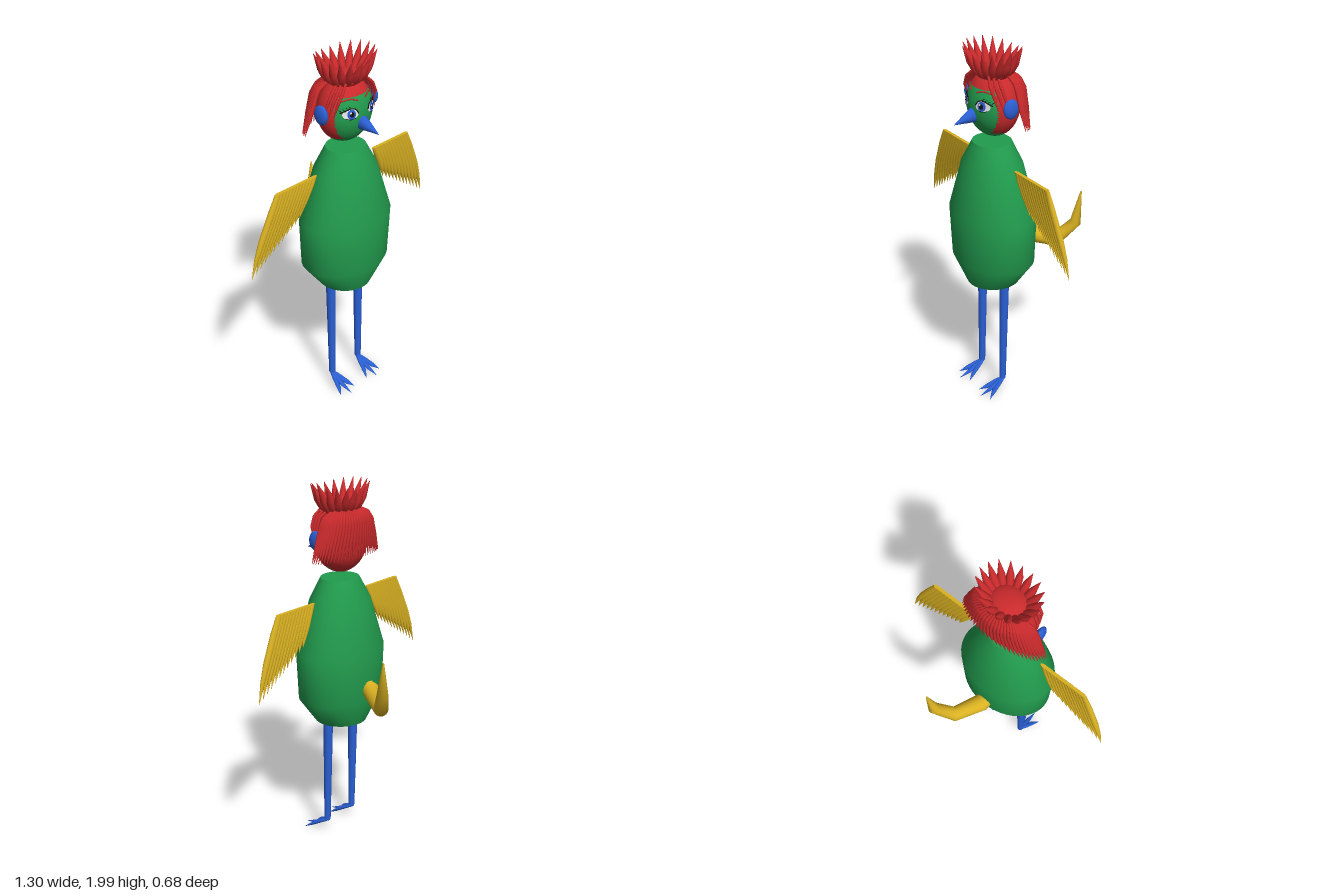
import * as THREE from 'three';

const paint = (name, color, double) => {
  const m = new THREE.MeshStandardMaterial({ color });
  m.name = name;
  if (double) m.side = THREE.DoubleSide;
  return m;
};

// Loft through stations [x, y, z, rx, rz]; rings lie flat, or square to the path when "along" is set.
function loft(stations, sides, along = false) {
  const pts = stations.map(s => new THREE.Vector3(s[0], s[1], s[2]));
  const up = new THREE.Vector3(0, 1, 0);
  const pos = [], index = [], last = stations.length - 1;
  const ring = i => {
    const q = new THREE.Quaternion();
    if (along) {
      const t = pts[Math.min(i + 1, last)].clone().sub(pts[Math.max(i - 1, 0)]).normalize();
      q.setFromUnitVectors(up, t);
    }
    const [, , , rx, rz = rx] = stations[i];
    for (let j = 0; j < sides; j++) {
      const a = j / sides * Math.PI * 2;
      const v = new THREE.Vector3(Math.cos(a) * rx, 0, Math.sin(a) * rz).applyQuaternion(q).add(pts[i]);
      pos.push(v.x, v.y, v.z);
    }
  };
  stations.forEach((s, i) => ring(i));
  for (let i = 0; i < last; i++) for (let j = 0; j < sides; j++) {
    const p = i * sides + j, q = i * sides + (j + 1) % sides;
    index.push(p, p + sides, q, q, p + sides, q + sides);
  }
  // flat end caps
  for (const i of [0, last]) {
    const start = pos.length / 3;
    ring(i);
    pos.push(...pts[i].toArray());
    for (let j = 0; j < sides; j++) {
      const a = start + j, b = start + (j + 1) % sides, c = start + sides;
      if (i === 0) index.push(c, a, b); else index.push(c, b, a);
    }
  }
  const g = new THREE.BufferGeometry();
  g.setAttribute('position', new THREE.Float32BufferAttribute(pos, 3));
  g.setIndex(index);
  g.computeVertexNormals();
  return g;
}

const HEAD = { x: 0.155, y: 0.17, z: 0.127, cy: 1.69, cz: 0.108 };
// point on the front of the head, lifted slightly off it
const onFace = (x, y, lift) => {
  const k = 1 - (x / HEAD.x) ** 2 - ((y - HEAD.cy) / HEAD.y) ** 2;
  return new THREE.Vector3(x, y, HEAD.cz + HEAD.z * Math.sqrt(Math.max(k, 0)) + lift);
};

export function createModel() {
  const model = new THREE.Group();
  const green = paint('green', 0x229c4e), red = paint('red', 0xcb2a2c);
  const yellow = paint('yellow', 0xd9b122), blue = paint('blue', 0x2a5fd3);
  const white = paint('white', 0xf4f4f4, true), black = paint('black', 0x111111, true);
  const add = (name, geometry, material, parent = model) => {
    const m = new THREE.Mesh(geometry, material);
    m.name = name;
    parent.add(m);
    return m;
  };
  const group = name => {
    const g = new THREE.Group();
    g.name = name;
    model.add(g);
    return g;
  };

  // body
  add('body', loft([
    [0, 0.68, 0.117, 0.143, 0.143], [0, 0.83, 0.117, 0.262, 0.201], [0, 1.1, 0.117, 0.272, 0.212],
    [0, 1.37, 0.117, 0.18, 0.153], [0, 1.49, 0.117, 0.11, 0.1],
  ], 48), green);

  // head: green face, red cap of plumage on the back and top
  const head = new THREE.SphereGeometry(1, 56, 40);
  head.scale(HEAD.x, HEAD.y, HEAD.z);
  const p = head.attributes.position, idx = head.index.array, face = [], cap = [];
  for (let i = 0; i < idx.length; i += 3) {
    const tri = [idx[i], idx[i + 1], idx[i + 2]];
    const y = tri.reduce((s, v) => s + p.getY(v), 0) / 3;
    const z = tri.reduce((s, v) => s + p.getZ(v), 0) / 3;
    const edge = y < -0.13 ? 0.0 : 0.06;
    (z < edge || y > 0.097 ? cap : face).push(...tri);
  }
  head.setIndex(face.concat(cap));
  head.addGroup(0, face.length, 0);
  head.addGroup(face.length, cap.length, 1);
  add('head', head, [green, red]).position.set(0, HEAD.cy, HEAD.cz);

  // crest: a ring of leaf-shaped feathers around a small dome
  const crest = group('crest');
  const dome = add('crestDome', new THREE.SphereGeometry(1, 24, 12), red, crest);
  dome.scale.set(0.1, 0.04, 0.085);
  dome.position.set(0, 1.855, 0.11);
  for (let i = 0; i < 18; i++) {
    const a = i / 18 * Math.PI * 2, c = Math.cos(a), s = Math.sin(a);
    const at = (r, y, w) => [r * c, y, 0.11 + r * 0.8 * s, w];
    add('crestFeather', loft([
      at(0.075, 1.84, 0.01), at(0.105, 1.87, 0.02), at(0.132, 1.91, 0.019),
      at(0.172, 1.967 + 0.028 * Math.abs(c), 0.001),
    ], 8, true), red, crest);
  }

  // hanging strands around the back of the head
  const hair = group('hair');
  for (let i = 0; i <= 30; i++) {
    const a = i / 30 * Math.PI, c = Math.cos(a), s = Math.sin(a);
    add('hairStrand', loft([
      [0.255 * c, 1.61, 0.085 - 0.1 * s, 0.001], [0.217 * c, 1.7, 0.085 - 0.105 * s, 0.01],
      [0.183 * c, 1.79, 0.085 - 0.107 * s, 0.012], [0.16 * c, 1.825, 0.085 - 0.095 * s, 0.01],
      [0.1 * c, 1.855, 0.085 - 0.06 * s, 0.006],
    ], 6, true), red, hair);
  }

  for (const s of [1, -1]) {
    // fringe sweeping down beside the face
    for (let i = 0; i < 3; i++) {
      const z = 0.19 - i * 0.025, x = 0.008 * i;
      add('fringeStrand', loft([
        [s * (0.142 + x), 1.7, z - 0.02, 0.002], [s * (0.135 + x), 1.77, z, 0.008],
        [s * (0.108 + x), 1.82, z + 0.004, 0.009], [s * 0.07, 1.86, z - 0.01, 0.006],
      ], 6, true), red, hair);
    }

    // ear
    const ear = add('ear', new THREE.SphereGeometry(1, 24, 16), blue);
    ear.scale.set(0.02, 0.051, 0.043);
    ear.position.set(s * 0.181, 1.712, 0.122);

    // eye: curved plates laid over the face
    const eye = group('eye');
    const plate = (name, x, y, rx, ry, lift, material) => {
      const g = new THREE.CircleGeometry(1, 28), v = g.attributes.position;
      for (let i = 0; i < v.count; i++) {
        const q = onFace(x + v.getX(i) * rx, y + v.getY(i) * ry, lift);
        v.setXYZ(i, q.x, q.y, q.z);
      }
      g.computeVertexNormals();
      add(name, g, material, eye);
    };
    plate('eyeWhite', s * 0.073, 1.712, 0.039, 0.026, 0.003, white);
    plate('iris', s * 0.071, 1.712, 0.021, 0.025, 0.005, blue);
    plate('pupil', s * 0.071, 1.712, 0.011, 0.014, 0.007, black);
    plate('eyeGlint', s * 0.071 - 0.007, 1.721, 0.005, 0.005, 0.009, white);
    const line = (name, pts, r, material) => add(name, new THREE.TubeGeometry(
      new THREE.CatmullRomCurve3(pts.map(([x, y]) => onFace(s * x, y, 0.004))), 12, r, 5), material, eye);
    line('upperLid', [[0.034, 1.712], [0.048, 1.734], [0.073, 1.741], [0.1, 1.732], [0.12, 1.722]], 0.003, black);
    line('lowerLid', [[0.05, 1.69], [0.075, 1.685], [0.1, 1.693]], 0.0015, black);
    for (let i = 0; i < 4; i++) {
      const x = 0.07 + i * 0.014, y = 1.739 - i * 0.005;
      line('lash', [[x, y], [x + 0.004, y + 0.008], [x + 0.01, y + 0.014]], 0.0015, black);
    }
    line('eyebrow', [[0.025, 1.772], [0.06, 1.784], [0.105, 1.776]], 0.004, red);

    // wing: overlapping feathers growing longer outward
    const wing = group('wing');
    for (let i = 0; i < 12; i++) {
      const t = i / 11, k = 0.5 + 0.5 * t, x = 0.228 + 0.242 * t;
      const at = (dx, dy, z, rx, rz) => [s * (x + k * dx), 1.39 - k * dy, z, rx, rz];
      add('wingFeather', loft([
        at(0.18, 0.425, 0.1, 0.001, 0.001), at(0.147, 0.32, 0.103, 0.013, 0.011),
        at(0.108, 0.225, 0.107, 0.02, 0.016), at(0.045, 0.09, 0.113, 0.022, 0.015),
        at(0, 0, 0.115, 0.021, 0.01),
      ], 10), yellow, wing);
    }

    // leg and three toes
    const leg = group('leg');
    add('shin', loft([
      [s * 0.107, 0.08, 0.13, 0.018], [s * 0.107, 0.7, 0.117, 0.027],
    ], 16), blue, leg);
    for (const d of [-1, 0, 1]) {
      add('toe', loft([
        [s * 0.107 + d * 0.056, 0.007, 0.282 - 0.03 * Math.abs(d), 0.001],
        [s * 0.107 + d * 0.034, 0.028, 0.215, 0.014, 0.009],
        [s * 0.107 + d * 0.016, 0.055, 0.165, 0.014, 0.01],
        [s * 0.107, 0.077, 0.118, 0.008],
      ], 8, true), blue, leg);
    }
  }

  // beak
  add('beak', loft([
    [0, 1.65, 0.2, 0.03, 0.039], [0, 1.649, 0.235, 0.03, 0.038],
    [0, 1.636, 0.28, 0.018, 0.022], [0, 1.619, 0.34, 0.001, 0.001],
  ], 16, true), blue);

  // tail
  add('tail', loft([
    [0, 0.91, -0.04, 0.048], [0.005, 0.895, -0.1, 0.048], [0.09, 0.85, -0.237, 0.041],
    [0.172, 0.97, -0.309, 0.031], [0.19, 1.155, -0.327, 0.004],
  ], 16, true), yellow);

  return model;
}
